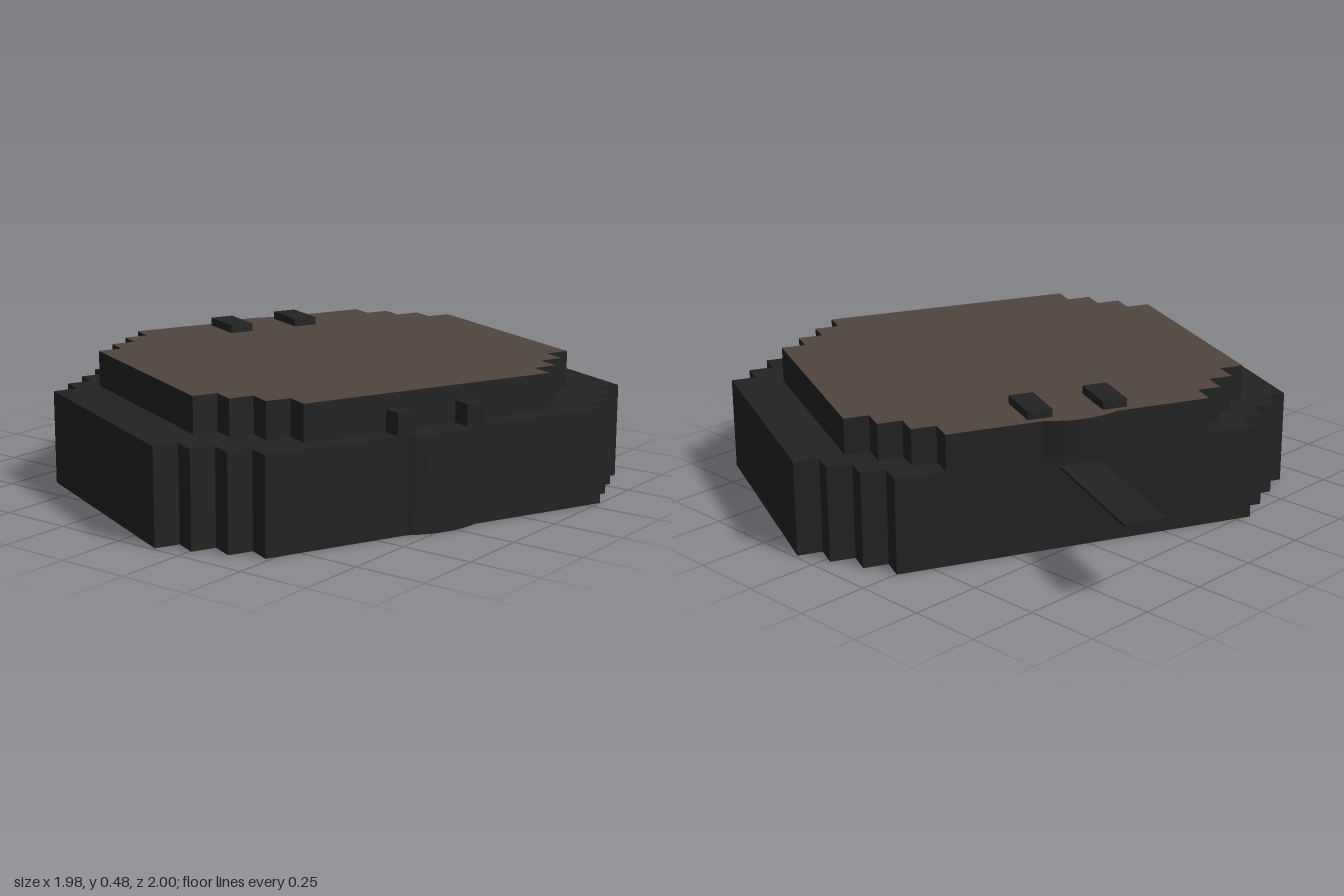
import * as THREE from 'three';

const STEP = 0.086; // size of one stair step on the corners

// Rectangle with stair-stepped corners; back / front add a shallow bulge in the middle of that edge.
function steppedShape(halfW, halfD, { back = false, front = false }) {
  const quarter = [];
  const flatD = halfD - 3 * STEP;
  for (let i = 0; i < 3; i++) {
    quarter.push([halfW - i * STEP, flatD + i * STEP], [halfW - (i + 1) * STEP, flatD + i * STEP]);
  }
  quarter.push([halfW - 3 * STEP, halfD]);

  const corner = (sx, sy) => {
    const pts = quarter.map(([x, y]) => new THREE.Vector2(x * sx, y * sy));
    return sx * sy < 0 ? pts.reverse() : pts;
  };
  const bulge = (sy) => {
    const pts = [];
    for (let i = 0; i <= 10; i++) {
      const t = 1 - i / 5;
      pts.push(new THREE.Vector2(0.13 * t * sy, (halfD + 0.028 * (1 - t * t)) * sy));
    }
    return pts;
  };
  return new THREE.Shape([
    ...corner(1, 1), ...(back ? bulge(1) : []), ...corner(-1, 1),
    ...corner(-1, -1), ...(front ? bulge(-1) : []), ...corner(1, -1),
  ]);
}

export function createModel() {
  const dark = new THREE.MeshStandardMaterial({ color: 0x222222 });
  dark.name = 'charcoal';
  const brown = new THREE.MeshStandardMaterial({ color: 0x51453e });
  brown.name = 'brown';

  const body = new THREE.Group();
  body.name = 'body';

  const add = (name, geometry, material, x, y, z) => {
    const mesh = new THREE.Mesh(geometry, material);
    mesh.name = name;
    mesh.position.set(x, y, z);
    body.add(mesh);
  };
  const slab = (shape, height) =>
    new THREE.ExtrudeGeometry(shape, { depth: height, bevelEnabled: false }).rotateX(-Math.PI / 2);

  // Lower tier, bulging at the front
  add('base', slab(steppedShape(0.893, 0.685, { front: true }), 0.33), dark, 0, 0, 0);

  // Upper tier, flush with the back of the base, and its brown top
  const upper = steppedShape(0.721, 0.648, { back: true });
  add('upperTier', slab(upper, 0.124), dark, 0, 0.33, -0.037);
  add('topPanel', new THREE.ShapeGeometry(upper).rotateX(-Math.PI / 2), brown, 0, 0.4555, -0.037);

  // Pairs of blocks on the top and on the front ledge
  for (const side of [-1, 1]) {
    add('topBlock', new THREE.BoxGeometry(0.086, 0.04, 0.17), dark, side * 0.132, 0.464, -0.575);
    add('ledgeBlock', new THREE.BoxGeometry(0.07, 0.09, 0.08), dark, side * 0.13, 0.36, 0.643);
  }

  // Thin tongue out of the back
  add('tongue', new THREE.BoxGeometry(0.142, 0.009, 0.59), dark, 0, 0.286, -0.896);

  body.rotation.y = THREE.MathUtils.degToRad(-24);
  body.position.z = 0.116;

  const model = new THREE.Group();
  model.name = 'model';
  model.add(body);
  return model;
}
